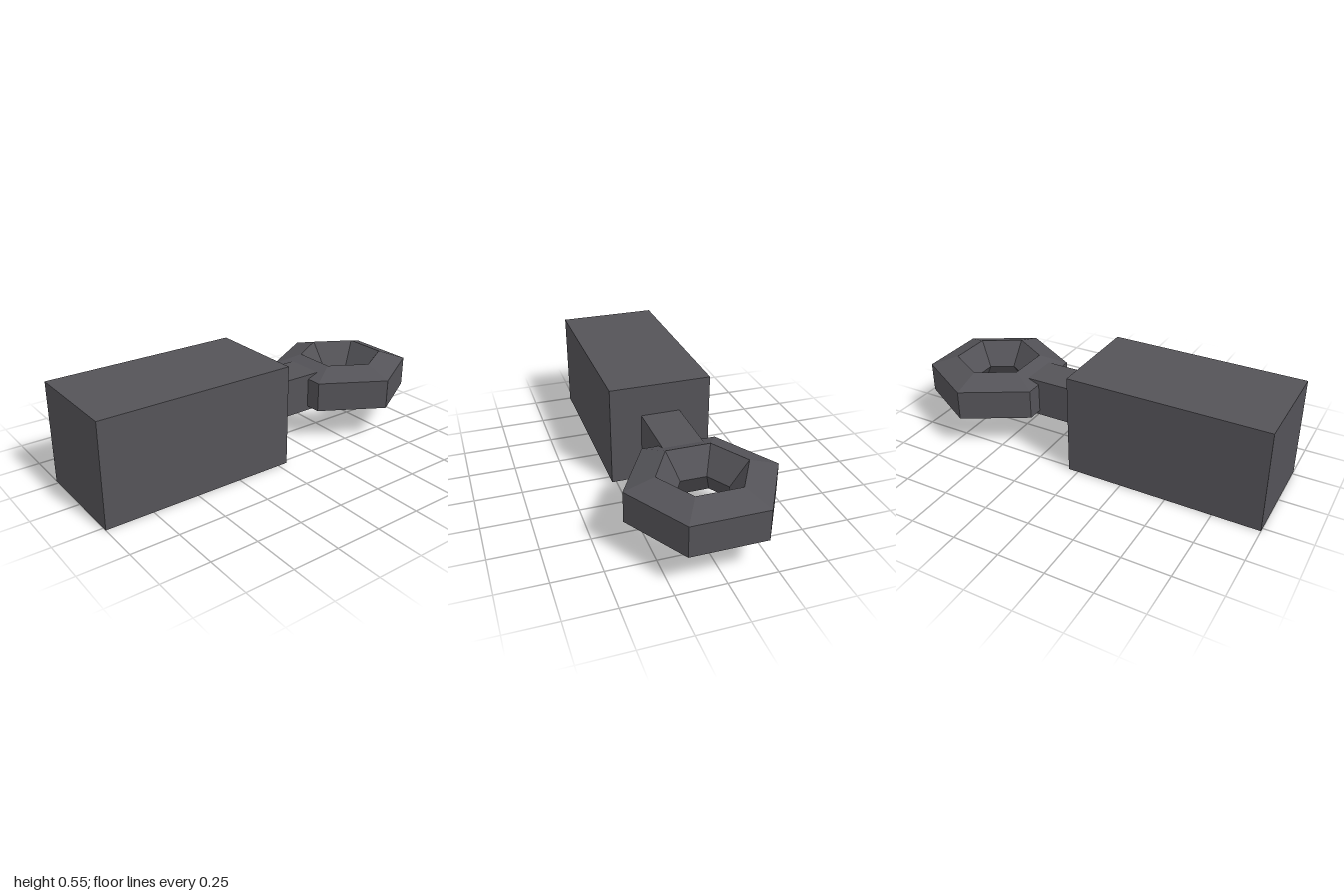
import * as THREE from 'three';

export function createModel() {
  const model = new THREE.Group();
  const darkGrey = new THREE.MeshStandardMaterial({ color: 0x545358, flatShading: true });
  darkGrey.name = 'darkGrey';
  const midY = 0.273;

  function add(name, geometry, z) {
    const mesh = new THREE.Mesh(geometry, darkGrey);
    mesh.name = name;
    mesh.position.set(0, midY, z);
    model.add(mesh);
  }

  // square block, front end at z = 1, back end at z = -0.055
  add('block', new THREE.BoxGeometry(0.546, 0.546, 1.055), 0.4725);

  // neck, running from the block into the ring
  add('neck', new THREE.BoxGeometry(0.21, 0.21, 0.375), -0.2425);

  // six-sided ring with a pentagonal section, flat side outwards
  const ringRadius = 0.272, tube = 0.137;
  const section = [];
  for (let i = 0; i <= 5; i++) {
    const a = ((i * 72 - 36) * Math.PI) / 180;
    section.push(new THREE.Vector2(ringRadius + tube * Math.cos(a), tube * Math.sin(a)));
  }
  add('ring', new THREE.LatheGeometry(section, 6, Math.PI / 2), -0.668);

  return model;
}
